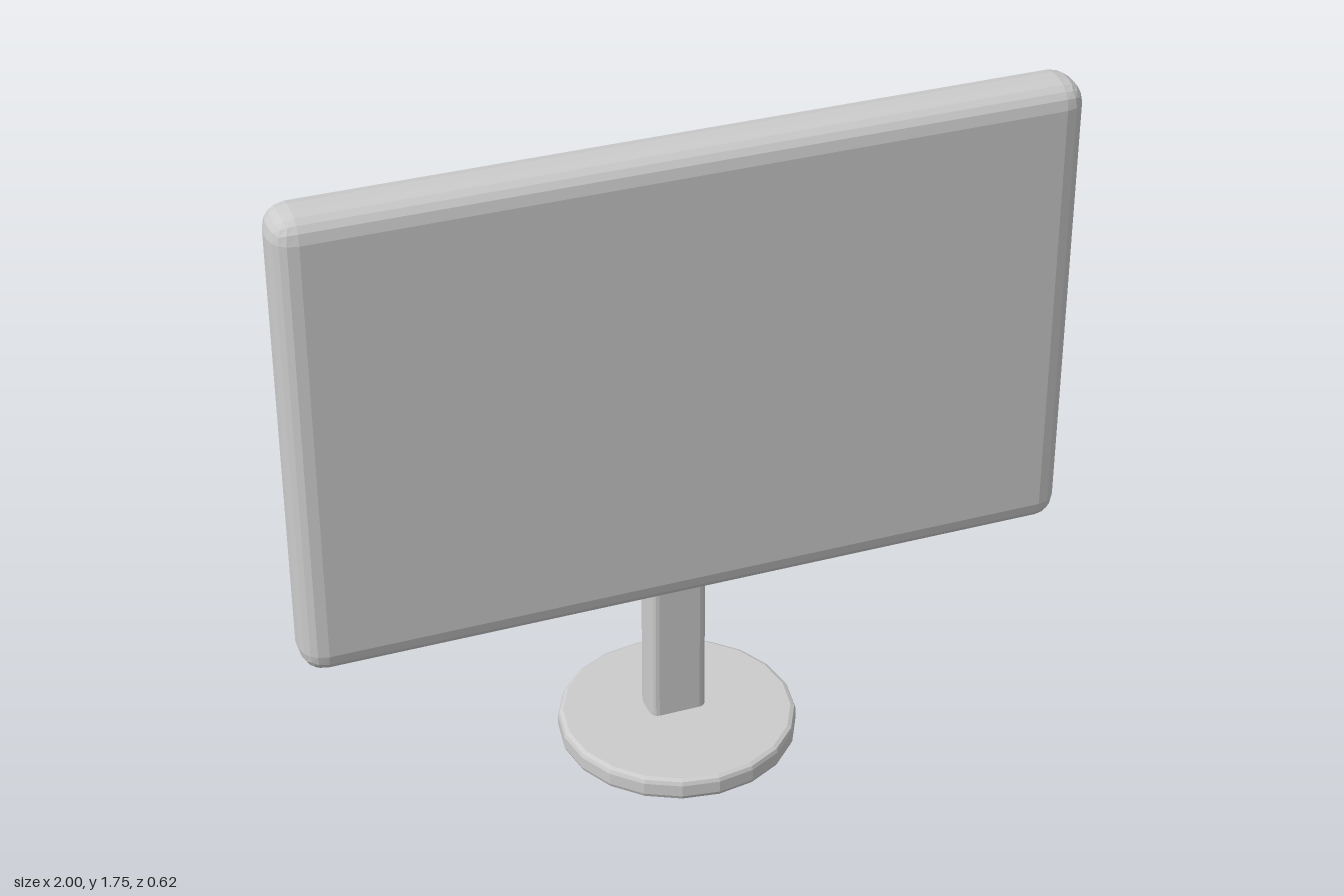
import * as THREE from 'three';
import { RoundedBoxGeometry } from 'three/addons/geometries/RoundedBoxGeometry.js';

const material = new THREE.MeshStandardMaterial({ color: 0xcccccc, flatShading: true });

// Rounded box given by its lower and upper corners
function roundedBox(name, min, max, radius, segments) {
  const [w, h, d] = max.map((v, i) => v - min[i]);
  const mesh = new THREE.Mesh(new RoundedBoxGeometry(w, h, d, segments, radius), material);
  mesh.name = name;
  mesh.position.set(...max.map((v, i) => (v + min[i]) / 2));
  return mesh;
}

export function createModel() {
  const model = new THREE.Group();
  model.name = 'monitor';

  // Thick display slab with soft edges
  model.add(roundedBox('screen', [-1, 0.505, -0.015], [1, 1.75, 0.14], 0.06, 2));

  // Upright post behind the slab
  model.add(roundedBox('stand', [-0.075, 0.03, -0.075], [0.075, 0.72, 0.02], 0.02, 2));

  // Round foot with small bevels
  const profile = [
    [0, 0], [0.296, 0], [0.306, 0.005], [0.31, 0.015],
    [0.31, 0.047], [0.306, 0.057], [0.296, 0.062], [0, 0.062],
  ].map(([r, y]) => new THREE.Vector2(r, y));
  const base = new THREE.Mesh(new THREE.LatheGeometry(profile, 20), material);
  base.name = 'base';
  model.add(base);

  return model;
}
